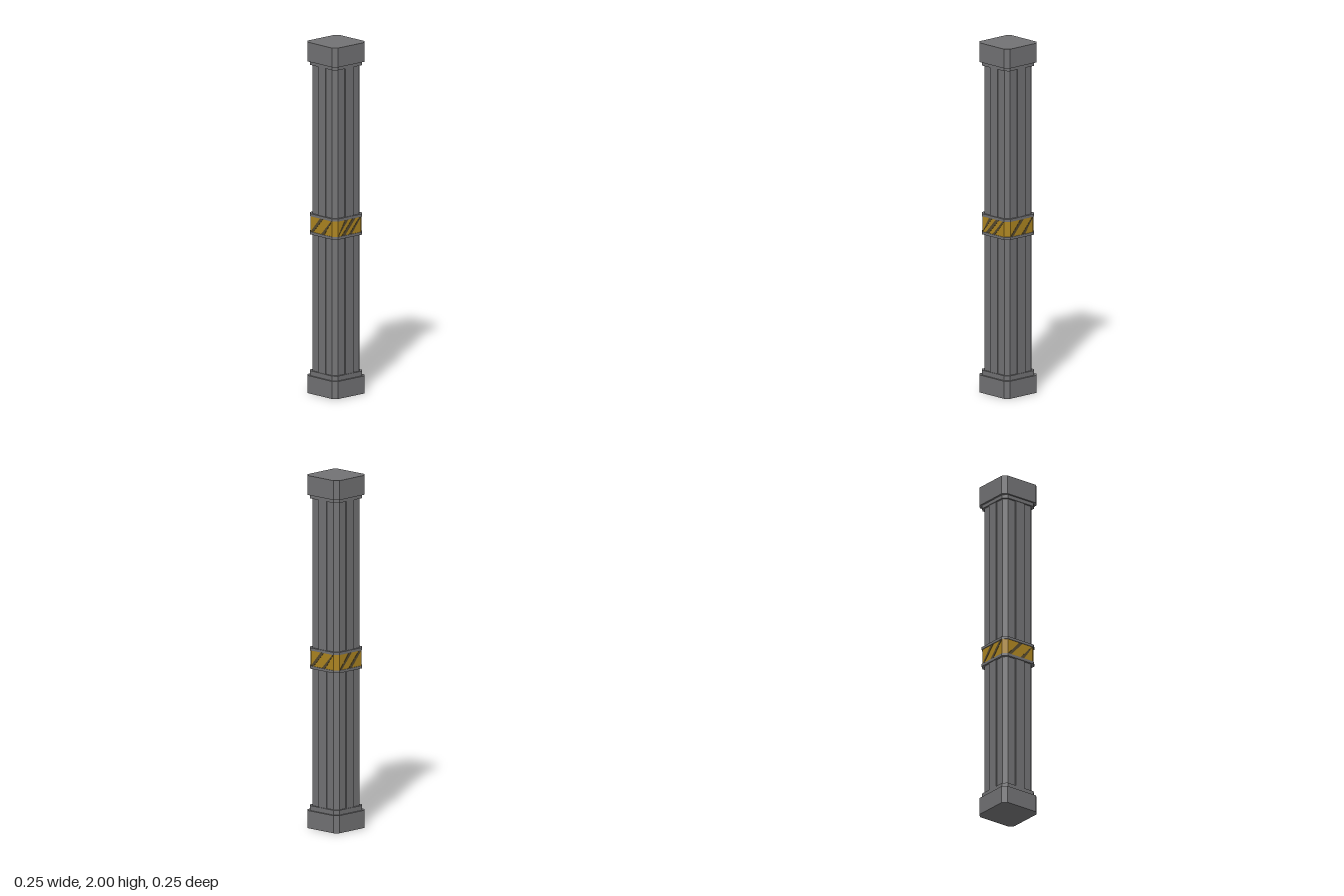
import * as THREE from 'three';

const stone = new THREE.MeshStandardMaterial({ color: 0x727274 });
stone.name = 'grey concrete';
const yellow = new THREE.MeshStandardMaterial({ color: 0xac8420 });
yellow.name = 'warning yellow';
const dark = new THREE.MeshStandardMaterial({ color: 0x54482e });
dark.name = 'stripe dark';

// Square block with cut corners: half width h, flat half width c, from y0 to y1
function block(name, h, c, y0, y1, material) {
  const shape = new THREE.Shape([
    [h, -c], [h, c], [c, h], [-c, h], [-h, c], [-h, -c], [-c, -h], [c, -h],
  ].map(([x, y]) => new THREE.Vector2(x, y)));
  const geometry = new THREE.ExtrudeGeometry(shape, { depth: y1 - y0, bevelEnabled: false });
  geometry.rotateX(-Math.PI / 2).translate(0, y0, 0);
  const mesh = new THREE.Mesh(geometry, material);
  mesh.name = name;
  return mesh;
}

export function createModel() {
  const column = new THREE.Group();
  column.name = 'column';

  // Shaft, ends and the collar lips
  column.add(
    block('base', 0.124, 0.1, 0, 0.1, stone),
    block('baseStep', 0.113, 0.09, 0.1, 0.127, stone),
    block('shaft', 0.103, 0.08, 0.127, 1.87, stone),
    block('capitalStep', 0.113, 0.09, 1.87, 1.89, stone),
    block('capital', 0.124, 0.1, 1.89, 2, stone),
    block('lowerLip', 0.115, 0.09, 0.905, 0.92, stone),
    block('upperLip', 0.115, 0.09, 1.008, 1.023, stone),
    block('warningBand', 0.111, 0.087, 0.92, 1.008, yellow),
  );

  // Stripe offsets and widths on the front, left, back and right faces
  const stripes = [
    [[-0.075, 0.025], [-0.02, 0.025], [0.035, 0.02]],
    [[-0.05, 0.025], [0.04, 0.025]],
    [[-0.055, 0.025], [0.025, 0.025]],
    [[-0.05, 0.025], [0.04, 0.025]],
  ];
  const bottom = 0.921, top = 1.007, lean = 0.04;

  stripes.forEach((list, i) => {
    const side = new THREE.Group();
    side.name = ['front', 'left', 'back', 'right'][i] + 'Side';
    side.rotation.y = i * Math.PI / 2;

    // Raised rib along the middle of the face
    const rib = new THREE.Mesh(new THREE.BoxGeometry(0.06, 1.743, 0.02), stone);
    rib.position.set(0, 0.9985, 0.099);
    rib.name = 'rib';
    side.add(rib);

    // Slanting stripes on the band
    for (const [x, w] of list) {
      const shape = new THREE.Shape([
        new THREE.Vector2(x - lean, bottom), new THREE.Vector2(x - lean + w, bottom),
        new THREE.Vector2(x + lean + w, top), new THREE.Vector2(x + lean, top),
      ].map((p) => p.setX(THREE.MathUtils.clamp(p.x, -0.086, 0.086))));
      const stripe = new THREE.Mesh(
        new THREE.ExtrudeGeometry(shape, { depth: 0.002, bevelEnabled: false }), dark);
      stripe.position.z = 0.1105;
      stripe.name = 'stripe';
      side.add(stripe);
    }
    column.add(side);
  });

  return column;
}
